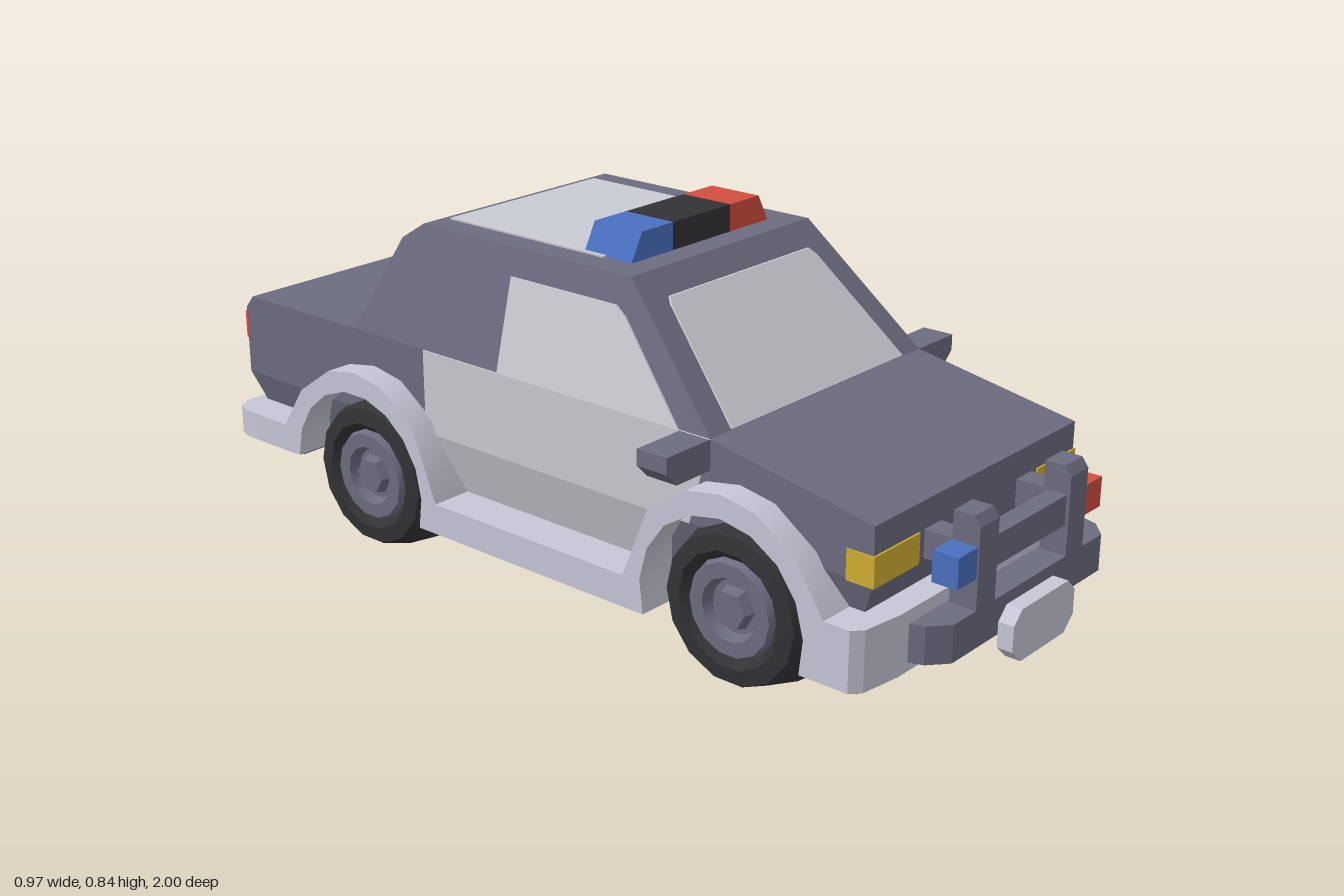
import * as THREE from 'three';
import { toCreasedNormals } from 'three/addons/utils/BufferGeometryUtils.js';

const mat = (name, color) => new THREE.MeshStandardMaterial({ name, color });

export function createModel() {
  const car = new THREE.Group();
  car.name = 'patrolCar';
  const M = {
    body: mat('slate body', 0x6c6c80),
    trim: mat('pale trim', 0xc6c6d6),
    panel: mat('pale panel', 0xc9cbd2),
    tyre: mat('black rubber', 0x333336),
    blue: mat('blue lamp', 0x4a6fc0),
    red: mat('red lamp', 0xd24f3e),
    yellow: mat('yellow lamp', 0xd0ae30),
  };
  const add = (name, geo, m, parent = car) => {
    const mesh = new THREE.Mesh(geo, m);
    mesh.name = name;
    parent.add(mesh);
    return mesh;
  };
  const val = (f, t) => (typeof f === 'function' ? f(t) : f);
  const extrude = (pts) => new THREE.ExtrudeGeometry(
    new THREE.Shape(pts.map(p => new THREE.Vector2(p[0], p[1]))), { depth: 1, bevelEnabled: false });
  const remap = (geo, fn, crease) => {
    const p = geo.attributes.position;
    for (let i = 0; i < p.count; i++) p.setXYZ(i, ...fn(p.getX(i), p.getY(i), p.getZ(i)));
    geo.computeVertexNormals();
    return crease ? toCreasedNormals(geo, crease) : geo;
  };
  // side profile (z, y) stretched across x from lo(y) to hi(y)
  const slab = (pts, lo, hi, crease) => remap(extrude(pts.map(([z, y]) => [-z, y])),
    (a, y, c) => [c < 0.5 ? val(lo, y) : val(hi, y), y, -a], crease);
  // front outline (x, y) between z values that may depend on y
  const frontSlab = (pts, lo, hi) => remap(extrude(pts),
    (x, y, c) => [x, y, c < 0.5 ? val(lo, y) : val(hi, y)]);
  // plan outline (x, z) between two heights
  const planSlab = (pts, y0, y1, crease) => remap(extrude(pts.map(([x, z]) => [x, -z])),
    (x, b, c) => [x, c < 0.5 ? y0 : y1, -b], crease);
  const box = (x0, x1, y0, y1, z0, z1) => new THREE.BoxGeometry(x1 - x0, y1 - y0, z1 - z0)
    .translate((x0 + x1) / 2, (y0 + y1) / 2, (z0 + z1) / 2);
  // x range on either side of the car
  const sided = (s, a, b) => (s > 0 ? [a, b] : [y => -val(b, y), y => -val(a, y)]);
  const symmetric = half => [...half, ...half.map(([x, v]) => [-x, v]).reverse()];

  // body layers: cabin, upper body, tapered lower body
  const cabinW = y => 0.355 - 0.25 * (y - 0.52);
  const lowerW = y => 0.355 - 0.3 * (0.33 - y);
  add('cabin', slab([[0.45, 0.52], [0.19, 0.78], [-0.41, 0.78], [-0.47, 0.74], [-0.58, 0.52]],
    y => -cabinW(y), cabinW), M.body);
  add('upperBody', slab([[0.84, 0.33], [0.84, 0.45], [0.45, 0.52], [-0.94, 0.52],
    [-0.965, 0.49], [-0.965, 0.33]], -0.355, 0.355), M.body);
  add('lowerBody', slab([[0.84, 0.33], [0.81, 0.26], [0.81, 0.135], [-0.4, 0.135], [-0.45, 0.2],
    [-0.93, 0.2], [-0.94, 0.27], [-0.965, 0.33]], y => -lowerW(y), lowerW), M.body);
  add('floorMiddle', box(-0.41, 0.41, 0.126, 0.134, -0.3, 0.31), M.body);
  add('floorFront', box(-0.4, 0.4, 0.126, 0.134, 0.73, 0.845), M.body);
  add('floorRear', box(-0.4, 0.4, 0.191, 0.199, -0.945, -0.73), M.body);

  // glass and roof panel
  const screenZ = y => 0.45 - (y - 0.52);
  add('windshield', frontSlab(symmetric([[0.29, 0.523], [0.24, 0.722], [0.23, 0.735]]),
    y => screenZ(y) - 0.005, y => screenZ(y) + 0.005), M.panel);
  const rearZ = y => -0.58 + (y - 0.52) * 0.5;
  add('rearWindow', frontSlab(symmetric([[0.255, 0.565], [0.267, 0.58], [0.24, 0.69], [0.23, 0.7]]),
    y => rearZ(y) - 0.004, y => rearZ(y) + 0.004), M.panel);
  add('roofPanel', box(-0.23, 0.23, 0.776, 0.784, -0.39, 0.06), M.panel);

  // wheel arch curves around a wheel centre z
  const outerArch = zc => [[0.25, 0.26], [0.185, 0.36], [0.085, 0.43], [0, 0.445],
    [-0.085, 0.43], [-0.185, 0.36], [-0.25, 0.2]].map(([d, y]) => [zc + d, y]);
  const innerArch = (zc, from, to) => Array.from({ length: 11 }, (_, i) => {
    const a = from + (to - from) * i / 10;
    return [zc + 0.205 * Math.cos(a), 0.19 + 0.205 * Math.sin(a)];
  });
  const FZ = 0.525, RZ = -0.52;
  const trimSide = [[0.8, 0.13], [0.8, 0.26], ...outerArch(FZ),
    ...outerArch(0).reverse().map(([d, y]) => [RZ - d, y]),
    [-0.9, 0.26], [-0.9, 0.195], ...innerArch(RZ, Math.PI - 0.03, -0.3),
    ...innerArch(FZ, Math.PI + 0.3, -0.3)];

  for (const s of [1, -1]) {
    const side = s > 0 ? 'left' : 'right';
    add(side + 'FenderTrim', slab(trimSide, ...sided(s, 0.3, 0.417), 0.65), M.trim);

    // door in two facets plus its window
    add(side + 'DoorUpper', slab([[0.45, 0.52], [0.4, 0.33], [-0.355, 0.33], [-0.355, 0.52]],
      ...sided(s, 0.35, 0.359)), M.panel);
    add(side + 'DoorLower', slab([[0.36, 0.33], [0.28, 0.19], [-0.27, 0.19], [-0.355, 0.33]],
      ...sided(s, y => lowerW(y) - 0.005, y => lowerW(y) + 0.004)), M.panel);
    add(side + 'Window', slab([[0.37, 0.52], [0.195, 0.7], [0.165, 0.72], [-0.13, 0.72], [-0.13, 0.52]],
      ...sided(s, y => cabinW(y) - 0.005, y => cabinW(y) + 0.004)), M.panel);

    add(side + 'Mirror', frontSlab([[0.35, 0.455], [0.455, 0.455], [0.485, 0.485], [0.485, 0.52],
      [0.35, 0.52]].map(([x, y]) => [s * x, y]), 0.375, 0.45), M.body);

    // lamps
    const lampBox = (name, x0, x1, m, ...r) =>
      add(side + name, box(Math.min(s * x0, s * x1), Math.max(s * x0, s * x1), ...r), m);
    lampBox('Headlight', 0.21, 0.358, M.yellow, 0.325, 0.39, 0.78, 0.844);
    lampBox('TailLight', 0.235, 0.356, M.red, 0.415, 0.48, -0.969, -0.961);
    lampBox('BarLamp', 0.195, 0.26, s > 0 ? M.red : M.blue, 0.325, 0.39, 0.905, 0.962);

    // push bar post and its bracket
    add(side + 'BarPost', slab([[0.905, 0.18], [0.905, 0.45], [0.95, 0.45], [0.965, 0.43], [0.965, 0.18]],
      ...sided(s, 0.13, 0.195)), M.body);
    lampBox('BarBracket', 0.135, 0.19, M.body, 0.33, 0.39, 0.83, 0.91);

    // roof beacon end
    add(side + 'Beacon', frontSlab([[0.093, 0.775], [0.225, 0.775], [0.19, 0.84], [0.093, 0.84]]
      .map(([x, y]) => [s * x, y]), 0, 0.13), s > 0 ? M.red : M.blue);
  }
  add('beaconCentre', box(-0.093, 0.093, 0.775, 0.84, 0, 0.13), M.tyre);

  // bumpers
  add('frontBumper', planSlab(symmetric([[0.417, 0.74], [0.417, 0.835], [0.395, 0.855], [0.3, 0.868]]),
    0.13, 0.26, 0.5), M.trim);
  add('rearBumper', planSlab(symmetric([[0.417, -0.74], [0.417, -0.915], [0.405, -0.945], [0.37, -0.967]]),
    0.195, 0.26, 0.6), M.trim);

  // push bar rails
  add('pushBarLower', planSlab(symmetric([[0.32, 0.9], [0.31, 0.93], [0.27, 0.965], [0.25, 0.93], [0.25, 0.9]]
    .filter((_, i) => i < 3)), 0.18, 0.26), M.body);
  add('pushBarMiddle', box(-0.13, 0.13, 0.325, 0.39, 0.915, 0.958), M.body);

  // octagonal plates front and back
  const plate = (name, y0, z0, z1) => add(name, frontSlab(symmetric([[0.08, y0], [0.112, y0 + 0.03],
    [0.112, y0 + 0.085], [0.085, y0 + 0.112]]), z0, z1), M.trim);
  plate('frontPlate', 0.122, 0.965, 1);
  plate('rearPlate', 0.168, -1, -0.965);

  // wheels: tyre, dished rim and six-sided hub
  const lathe = (pts) => toCreasedNormals(new THREE.LatheGeometry(
    pts.map(p => new THREE.Vector2(p[0], p[1])), 14).rotateZ(-Math.PI / 2), 0.6);
  const tyreGeo = lathe([[0, 0.195], [0.155, 0.195], [0.187, 0.235], [0.19, 0.26], [0.185, 0.31],
    [0.16, 0.385], [0.125, 0.39], [0.105, 0.37]]);
  const rimGeo = lathe([[0.108, 0.368], [0.1, 0.386], [0.068, 0.386], [0.058, 0.362], [0, 0.362]]);
  const hubGeo = new THREE.CylinderGeometry(0.04, 0.05, 0.03, 6).rotateZ(-Math.PI / 2)
    .translate(0.37, 0, 0).toNonIndexed();
  hubGeo.computeVertexNormals();
  for (const z of [FZ, RZ]) for (const s of [1, -1]) {
    const wheel = new THREE.Group();
    wheel.name = (z > 0 ? 'front' : 'rear') + (s > 0 ? 'Left' : 'Right') + 'Wheel';
    add('tyre', tyreGeo, M.tyre, wheel);
    add('rim', rimGeo, M.body, wheel);
    add('hub', hubGeo, M.body, wheel);
    wheel.position.set(0, 0.19, z);
    wheel.rotation.y = s > 0 ? 0 : Math.PI;
    car.add(wheel);
  }
  return car;
}
